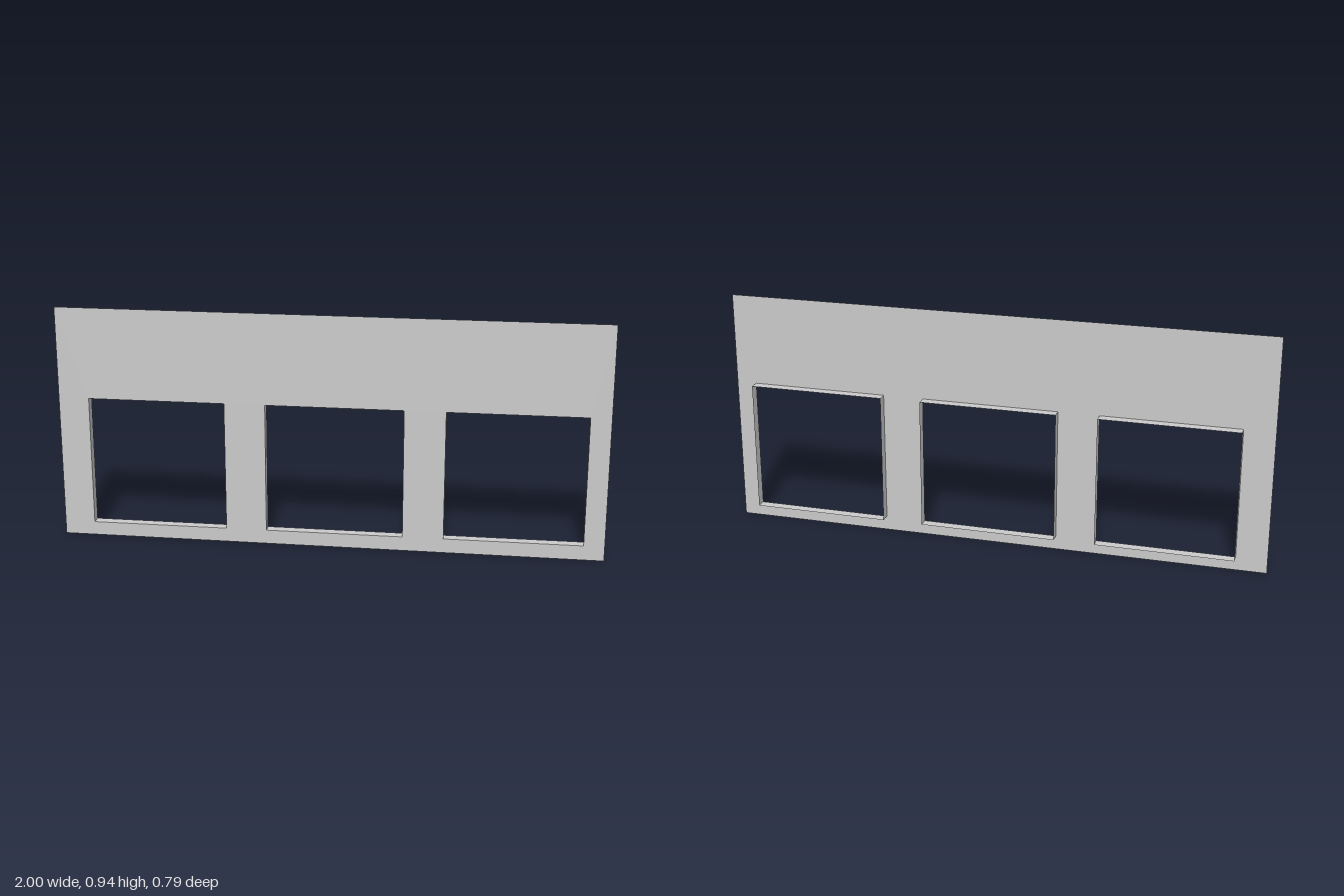
import * as THREE from 'three';

const SLOPE = 0.396;                       // wall runs diagonally: z = SLOPE * x
const ANGLE = Math.atan(SLOPE);
const STRETCH = 1 / Math.cos(ANGLE);       // length along the wall per unit of x
const DEPTH = 0.041;                       // how far the window linings project backwards
const BOTTOM = 0.059, TOP = 0.577;         // window opening heights
const OPENINGS = [[-0.888, -0.384], [-0.234, 0.27], [0.42, 0.925]]
  .map(([a, b]) => [a * STRETCH, b * STRETCH]);

export function createModel() {
  const model = new THREE.Group();
  model.name = 'windowWall';
  const material = new THREE.MeshStandardMaterial({
    color: 0xcccccc, side: THREE.DoubleSide, flatShading: true,
  });

  // Wall sheet, a touch higher at its right-hand end, with three openings
  const half = STRETCH;
  const outline = new THREE.Shape([
    new THREE.Vector2(-half, 0.005), new THREE.Vector2(half, 0),
    new THREE.Vector2(half, 0.939), new THREE.Vector2(-half, 0.942),
  ]);
  for (const [l, r] of OPENINGS) {
    outline.holes.push(new THREE.Path([
      new THREE.Vector2(l, BOTTOM), new THREE.Vector2(l, TOP),
      new THREE.Vector2(r, TOP), new THREE.Vector2(r, BOTTOM),
    ]));
  }
  const wall = new THREE.Mesh(new THREE.ShapeGeometry(outline), material);
  wall.name = 'wall';
  model.add(wall);

  // Thin linings around each opening, behind the wall
  const height = TOP - BOTTOM;
  const midY = (TOP + BOTTOM) / 2;
  OPENINGS.forEach(([l, r], i) => {
    const lining = new THREE.Group();
    lining.name = `windowLining${i + 1}`;
    const addPanel = (name, geometry, x, y) => {
      const panel = new THREE.Mesh(geometry, material);
      panel.name = name;
      panel.position.set(x, y, -DEPTH / 2);
      lining.add(panel);
    };
    const jamb = () => new THREE.PlaneGeometry(DEPTH, height).rotateY(Math.PI / 2);
    const rail = (turn) => new THREE.PlaneGeometry(r - l, DEPTH).rotateX(turn);
    addPanel('rightJamb', jamb(), l, midY);
    addPanel('leftJamb', jamb().rotateY(Math.PI), r, midY);
    addPanel('sill', rail(-Math.PI / 2), (l + r) / 2, BOTTOM);
    addPanel('head', rail(Math.PI / 2), (l + r) / 2, TOP);
    model.add(lining);
  });

  // Turn the whole wall onto its diagonal
  model.rotation.y = -ANGLE;
  const root = new THREE.Group();
  root.name = 'model';
  root.add(model);
  return root;
}
